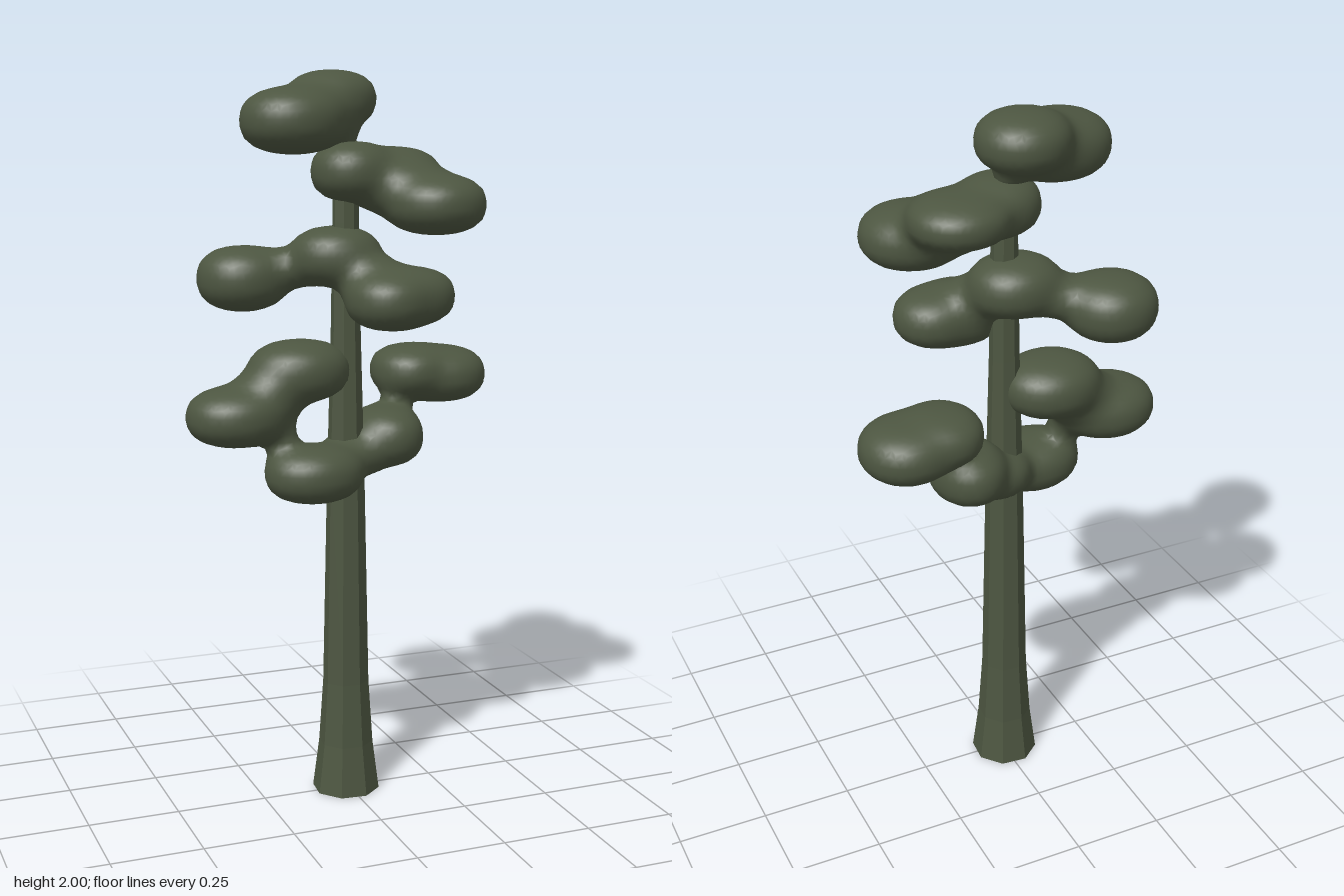
import * as THREE from 'three';

// Foliage pads: centre x, y, z and radii x, y, z, grouped by tier
const TIERS = {
  crownFoliage: [
    [-0.158, 1.866, 0, 0.138, 0.086, 0.13],
    [-0.01, 1.922, -0.095, 0.12, 0.076, 0.12],
    [-0.08, 1.885, -0.045, 0.1, 0.065, 0.09],
    [0, 1.83, -0.03, 0.032, 0.05, 0.032],
  ],
  upperFoliage: [
    [0.005, 1.733, 0, 0.105, 0.078, 0.11],
    [0.145, 1.73, -0.06, 0.13, 0.065, 0.122],
    [0.212, 1.648, 0.1, 0.134, 0.08, 0.134],
    [0.14, 1.69, 0.03, 0.12, 0.07, 0.1],
  ],
  middleFoliage: [
    [-0.26, 1.448, -0.12, 0.124, 0.088, 0.123],
    [-0.03, 1.51, -0.015, 0.122, 0.08, 0.114],
    [0.065, 1.4, 0.12, 0.11, 0.077, 0.118],
    [0.155, 1.408, 0.1, 0.105, 0.073, 0.105],
    [0.04, 1.455, 0.06, 0.075, 0.055, 0.07],
    [-0.14, 1.475, -0.07, 0.07, 0.045, 0.06],
  ],
  lowerFoliage: [
    [-0.318, 1.093, -0.005, 0.136, 0.08, 0.124],
    [-0.133, 1.205, -0.02, 0.138, 0.083, 0.125],
    [-0.225, 1.145, -0.01, 0.09, 0.065, 0.09],
    [0.22, 1.175, -0.11, 0.103, 0.07, 0.12],
    [0.33, 1.158, -0.115, 0.122, 0.078, 0.128],
    [0.125, 1.006, -0.04, 0.103, 0.082, 0.128],
    [-0.12, 0.935, 0.06, 0.135, 0.078, 0.114],
    [0.02, 0.965, -0.02, 0.085, 0.06, 0.09],
    // slim necks between pads
    [-0.195, 1.02, 0.03, 0.03, 0.06, 0.03],
    [0.175, 1.095, -0.08, 0.02, 0.05, 0.02],
  ],
};

// Smoothly blended distance to a set of flat, full-sided pads
function blend(pads, x, y, z) {
  const k = 0.018, p = 2.35;
  let sum = 1e-30;
  for (const [cx, cy, cz, rx, ry, rz] of pads) {
    const a = (x - cx) / rx, b = Math.abs(y - cy) / ry, c = (z - cz) / rz;
    const h = Math.hypot(a, c) + 1e-6;
    const size = (h ** p + b ** p) ** (1 / p);
    const slope = size ** (1 - p) * Math.hypot(
      h ** (p - 2) * Math.hypot(a / rx, c / rz), b ** (p - 1) / ry);
    const d = size < 0.4 ? -0.03 : (size - 1) / slope;
    sum += Math.exp(-d / k);
  }
  return -k * Math.log(sum);
}

// Skin the blended pads with a regular grid: one vertex per crossed cell
function foliageGeometry(pads) {
  const cell = 0.02, pad = 0.06;
  const low = [0, 1, 2].map(a => Math.min(...pads.map(p => p[a] - p[a + 3])) - pad);
  const high = [0, 1, 2].map(a => Math.max(...pads.map(p => p[a] + p[a + 3])) + pad);
  const n = low.map((l, a) => Math.ceil((high[a] - l) / cell) + 1);
  const step = [1, n[0], n[0] * n[1]];
  const values = new Float32Array(n[0] * n[1] * n[2]);
  const eachNode = (start, trim, fn) => {
    for (let k = start; k < n[2] - trim; k++)
      for (let j = start; j < n[1] - trim; j++)
        for (let i = start; i < n[0] - trim; i++) fn(i + j * step[1] + k * step[2], [i, j, k]);
  };
  eachNode(0, 0, (id, g) => {
    values[id] = blend(pads, ...g.map((v, a) => low[a] + v * cell));
  });

  const positions = [], normals = [], index = [];
  const vertexOf = new Int32Array(values.length).fill(-1);
  eachNode(0, 1, (id, g) => {
    const sum = [0, 0, 0];
    let hits = 0;
    for (let corner = 0; corner < 8; corner++) {
      const bits = [corner & 1, (corner >> 1) & 1, corner >> 2];
      const from = id + bits[0] + bits[1] * step[1] + bits[2] * step[2];
      for (let a = 0; a < 3; a++) {
        if (bits[a]) continue;
        const v0 = values[from], v1 = values[from + step[a]];
        if ((v0 < 0) === (v1 < 0)) continue;
        for (let b = 0; b < 3; b++) sum[b] += bits[b] + (a === b ? v0 / (v0 - v1) : 0);
        hits++;
      }
    }
    if (!hits) return;
    const [x, y, z] = sum.map((s, a) => low[a] + (g[a] + s / hits) * cell);
    const e = 0.003;
    const normal = new THREE.Vector3(
      blend(pads, x + e, y, z) - blend(pads, x - e, y, z),
      blend(pads, x, y + e, z) - blend(pads, x, y - e, z),
      blend(pads, x, y, z + e) - blend(pads, x, y, z - e)).normalize();
    vertexOf[id] = positions.length / 3;
    positions.push(x, y, z);
    normals.push(normal.x, normal.y, normal.z);
  });
  eachNode(1, 1, id => {
    for (let a = 0; a < 3; a++) {
      const inside = values[id] < 0;
      if (inside === (values[id + step[a]] < 0)) continue;
      const b = step[(a + 1) % 3], c = step[(a + 2) % 3];
      const quad = [id, id - b, id - b - c, id - c].map(q => vertexOf[q]);
      if (!inside) quad.reverse();
      index.push(quad[0], quad[1], quad[2], quad[0], quad[2], quad[3]);
    }
  });
  const geometry = new THREE.BufferGeometry();
  geometry.setAttribute('position', new THREE.Float32BufferAttribute(positions, 3));
  geometry.setAttribute('normal', new THREE.Float32BufferAttribute(normals, 3));
  geometry.setIndex(index);
  return geometry;
}

// Faceted eight-sided trunk, flared at the foot
function trunkGeometry() {
  const profile = [
    [0, 0], [0.094, 0], [0.076, 0.14], [0.064, 0.32], [0.052, 0.9],
    [0.041, 1.3], [0.036, 1.6], [0.034, 1.74], [0, 1.74],
  ].map(([r, y]) => new THREE.Vector2(r, y));
  const geometry = new THREE.LatheGeometry(profile, 8, 0.3).toNonIndexed();
  geometry.computeVertexNormals();
  return geometry;
}

export function createModel() {
  const green = new THREE.MeshStandardMaterial({ color: 0x4d5641 });
  green.name = 'dark olive green';
  const tree = new THREE.Group();
  tree.name = 'tree';

  const trunk = new THREE.Mesh(trunkGeometry(), green);
  trunk.name = 'trunk';
  trunk.position.set(-0.006, 0, -0.003);
  tree.add(trunk);

  for (const [name, pads] of Object.entries(TIERS)) {
    const foliage = new THREE.Mesh(foliageGeometry(pads), green);
    foliage.name = name;
    tree.add(foliage);
  }
  return tree;
}
